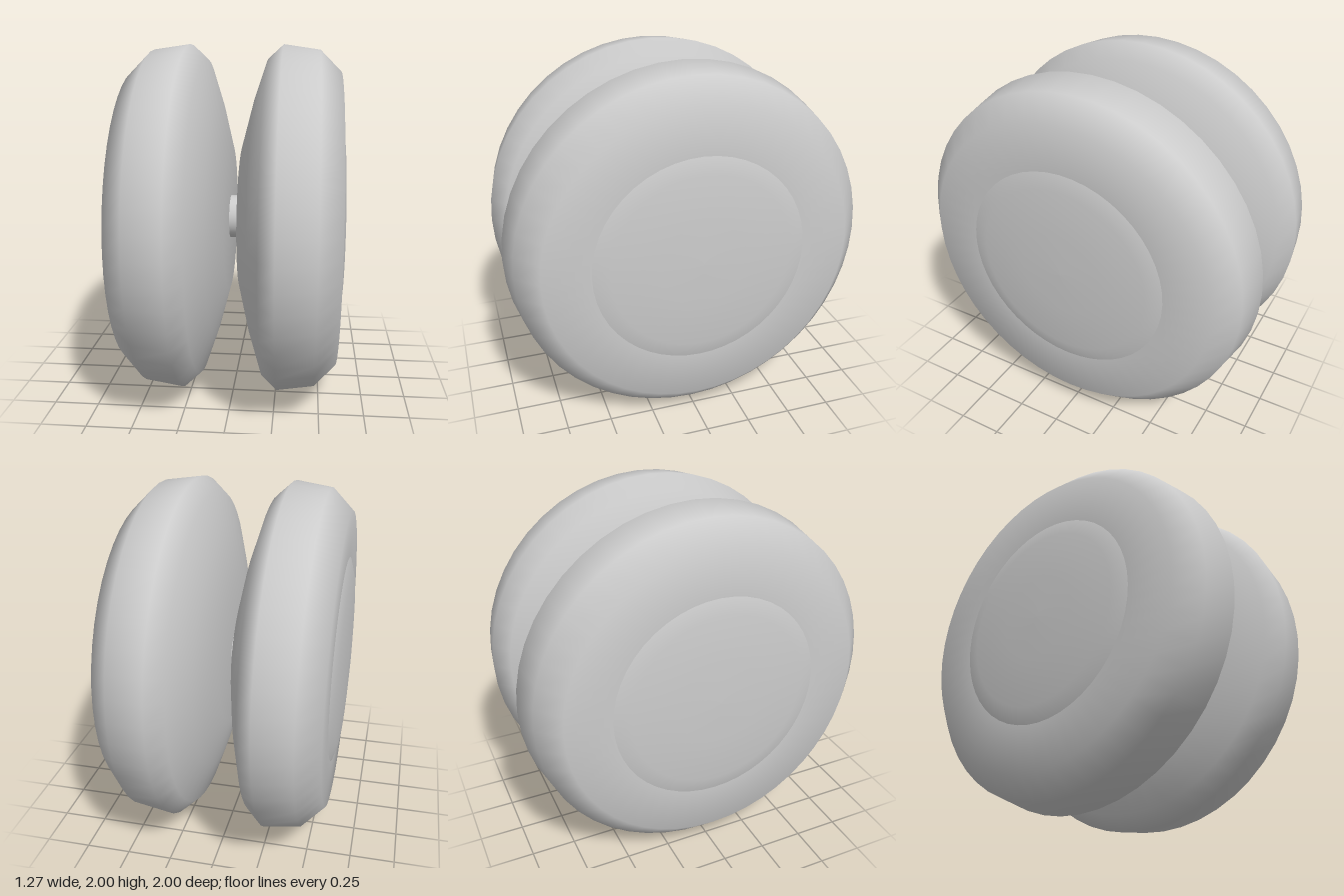
import * as THREE from 'three';

const SEGMENTS = 48;

// Lathe from [radius, distance from the middle] pairs
function lathe(pairs) {
  return new THREE.LatheGeometry(pairs.map(([r, d]) => new THREE.Vector2(r, d)), SEGMENTS);
}

export function createModel() {
  const model = new THREE.Group();
  model.name = 'yoyo';
  const material = new THREE.MeshStandardMaterial({ color: 0xcccccc });

  // Rounded disc: inner face, flared wall, rim, outer face
  const discGeometry = lathe([
    [0, 0.035], [0.43, 0.035], [0.7, 0.105], [0.92, 0.178], [1, 0.265],
    [0.97, 0.47], [0.85, 0.59], [0.59, 0.592], [0, 0.592],
  ]);
  // Shallow domed cap on the outer face
  const capGeometry = lathe([[0.59, 0.592], [0.5, 0.617], [0.24, 0.632], [0, 0.635]]);

  for (const [side, sign] of [['left', 1], ['right', -1]]) {
    const half = new THREE.Group();
    half.name = `${side}Half`;
    half.rotation.z = -sign * Math.PI / 2;
    half.position.y = 1;
    const disc = new THREE.Mesh(discGeometry, material);
    disc.name = `${side}Disc`;
    const cap = new THREE.Mesh(capGeometry, material);
    cap.name = `${side}Cap`;
    half.add(disc, cap);
    model.add(half);
  }

  // Axle joining the halves
  const axle = new THREE.Mesh(new THREE.CylinderGeometry(0.125, 0.125, 0.1, 32), material);
  axle.name = 'axle';
  axle.rotation.z = Math.PI / 2;
  axle.position.y = 1;
  model.add(axle);

  return model;
}
